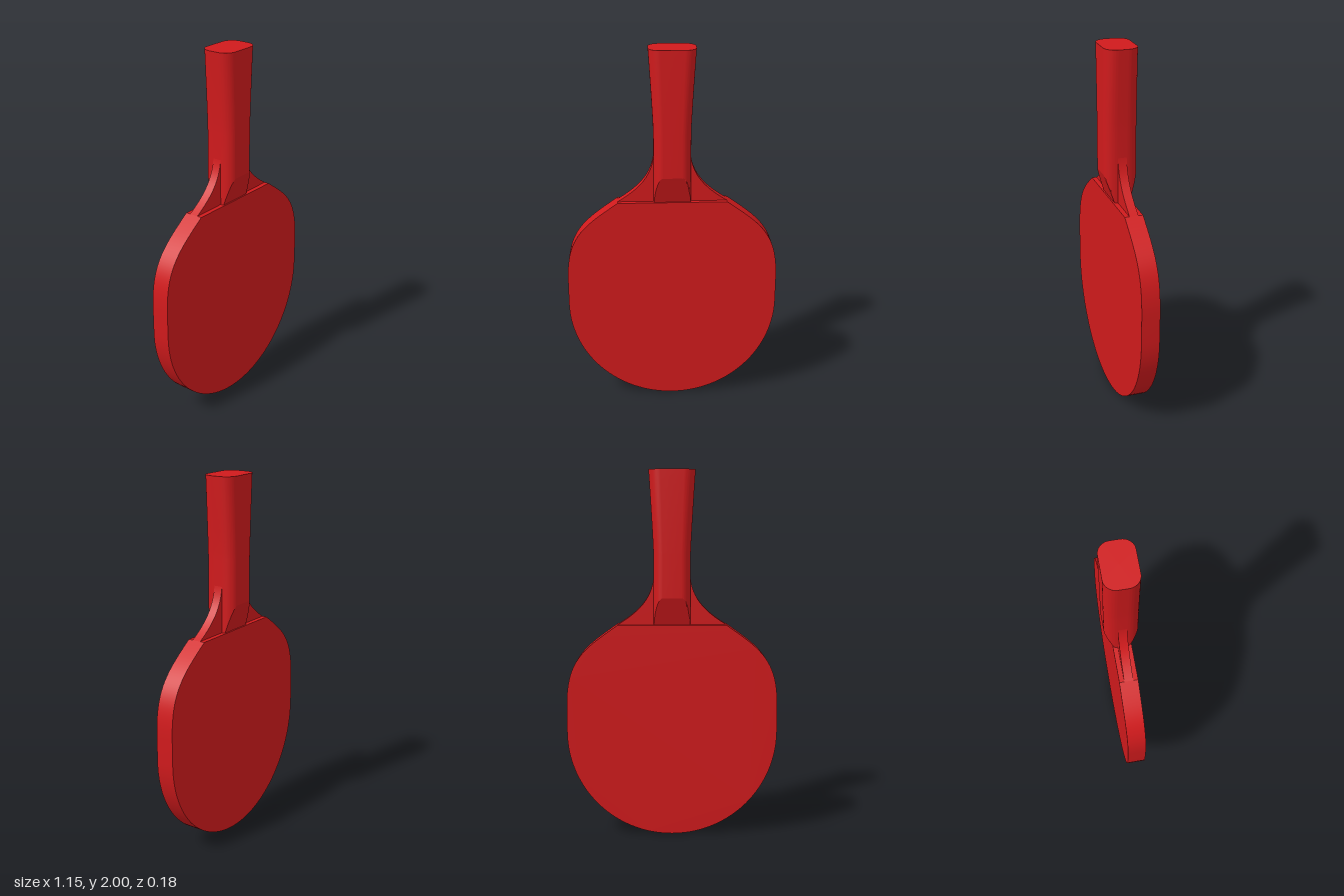
import * as THREE from 'three';
import { toCreasedNormals } from 'three/addons/utils/BufferGeometryUtils.js';

const red = new THREE.MeshStandardMaterial({ color: 0xd01a1c });
const JOIN_Y = 1.17;      // where rubber ends and the neck begins
const JOIN_X = 0.295;

function slab(name, shape, depth) {
  const geo = new THREE.ExtrudeGeometry(shape, { depth, bevelEnabled: false, curveSegments: 28 });
  geo.translate(0, 0, -depth / 2);
  const mesh = new THREE.Mesh(toCreasedNormals(geo, 0.3), red);
  mesh.name = name;
  return mesh;
}

// Thick round head with a straight top edge
function headShape() {
  const s = new THREE.Shape();
  const r = 0.575, k = 0.318;
  s.moveTo(0, 0);
  s.bezierCurveTo(k, 0, r, 0.26, r, 0.58);
  s.lineTo(r, 0.72);
  s.bezierCurveTo(r, 0.98, 0.48, 1.04, JOIN_X, JOIN_Y);
  s.lineTo(-JOIN_X, JOIN_Y);
  s.bezierCurveTo(-0.48, 1.04, -r, 0.98, -r, 0.72);
  s.lineTo(-r, 0.58);
  s.bezierCurveTo(-r, 0.26, -k, 0, 0, 0);
  return s;
}

// Thin wooden neck that flares from the handle to the head
function neckShape() {
  const s = new THREE.Shape();
  s.moveTo(-JOIN_X, JOIN_Y);
  s.lineTo(JOIN_X, JOIN_Y);
  s.bezierCurveTo(0.18, 1.24, 0.11, 1.31, 0.099, 1.43);
  s.lineTo(-0.099, 1.43);
  s.bezierCurveTo(-0.11, 1.31, -0.18, 1.24, -JOIN_X, JOIN_Y);
  return s;
}

// Rounded-rectangle grip, flared at the end and chamfered front and back at the neck
function handleGeometry() {
  const HALF_Z = 0.09, RX = 0.5, RZ = 0.065, SEG = 16;
  const CUT_Y = 1.32, CUT_Z = 0.042;

  // Cross-section: x in units of the half width, z in model units
  const ring = [];
  for (let q = 0; q < 4; q++) {
    const sx = q === 0 || q === 3 ? 1 : -1, sz = q < 2 ? 1 : -1;
    for (let i = 0; i <= SEG; i++) {
      const a = (q + i / SEG) * Math.PI / 2;
      ring.push([sx * (1 - RX) + RX * Math.cos(a), sz * (HALF_Z - RZ) + RZ * Math.sin(a)]);
    }
  }

  // Rows: through the chamfer at the heights where it meets each corner point, then the flare
  const rows = [JOIN_Y];
  for (let i = 0; i <= SEG; i++) {
    const z = HALF_Z - RZ + RZ * Math.sin(i / SEG * Math.PI / 2);
    if (z > CUT_Z + 0.001) rows.push(JOIN_Y + (CUT_Y - JOIN_Y) * (z - CUT_Z) / (HALF_Z - CUT_Z));
  }
  for (let i = 0; i <= 8; i++) rows.push(1.56 + 0.44 * i / 8);

  const pos = [], idx = [], n = ring.length;
  for (const y of rows) {
    const w = 0.1 + 0.025 * Math.pow(Math.max(0, (y - 1.56) / 0.44), 1.15);
    const t = Math.min(1, (y - JOIN_Y) / (CUT_Y - JOIN_Y));
    const limit = CUT_Z + (HALF_Z - CUT_Z) * t;
    for (const [x, z] of ring) pos.push(x * w, y, THREE.MathUtils.clamp(z, -limit, limit));
  }
  for (let r = 0; r < rows.length - 1; r++) {
    for (let i = 0; i < n; i++) {
      const a = r * n + i, b = r * n + (i + 1) % n;
      idx.push(a, a + n, b, b, a + n, b + n);
    }
  }
  // End caps
  const last = (rows.length - 1) * n, c = pos.length / 3;
  pos.push(0, 2, 0, 0, JOIN_Y, 0);
  for (let i = 0; i < n; i++) {
    const j = (i + 1) % n;
    idx.push(c, last + j, last + i, c + 1, i, j);
  }
  const geo = new THREE.BufferGeometry();
  geo.setAttribute('position', new THREE.Float32BufferAttribute(pos, 3));
  geo.setIndex(idx);
  return toCreasedNormals(geo, 0.2);
}

export function createModel() {
  const paddle = new THREE.Group();
  paddle.name = 'tableTennisPaddle';
  const handle = new THREE.Mesh(handleGeometry(), red);
  handle.name = 'handle';
  paddle.add(slab('head', headShape(), 0.1), slab('neck', neckShape(), 0.048), handle);
  return paddle;
}
